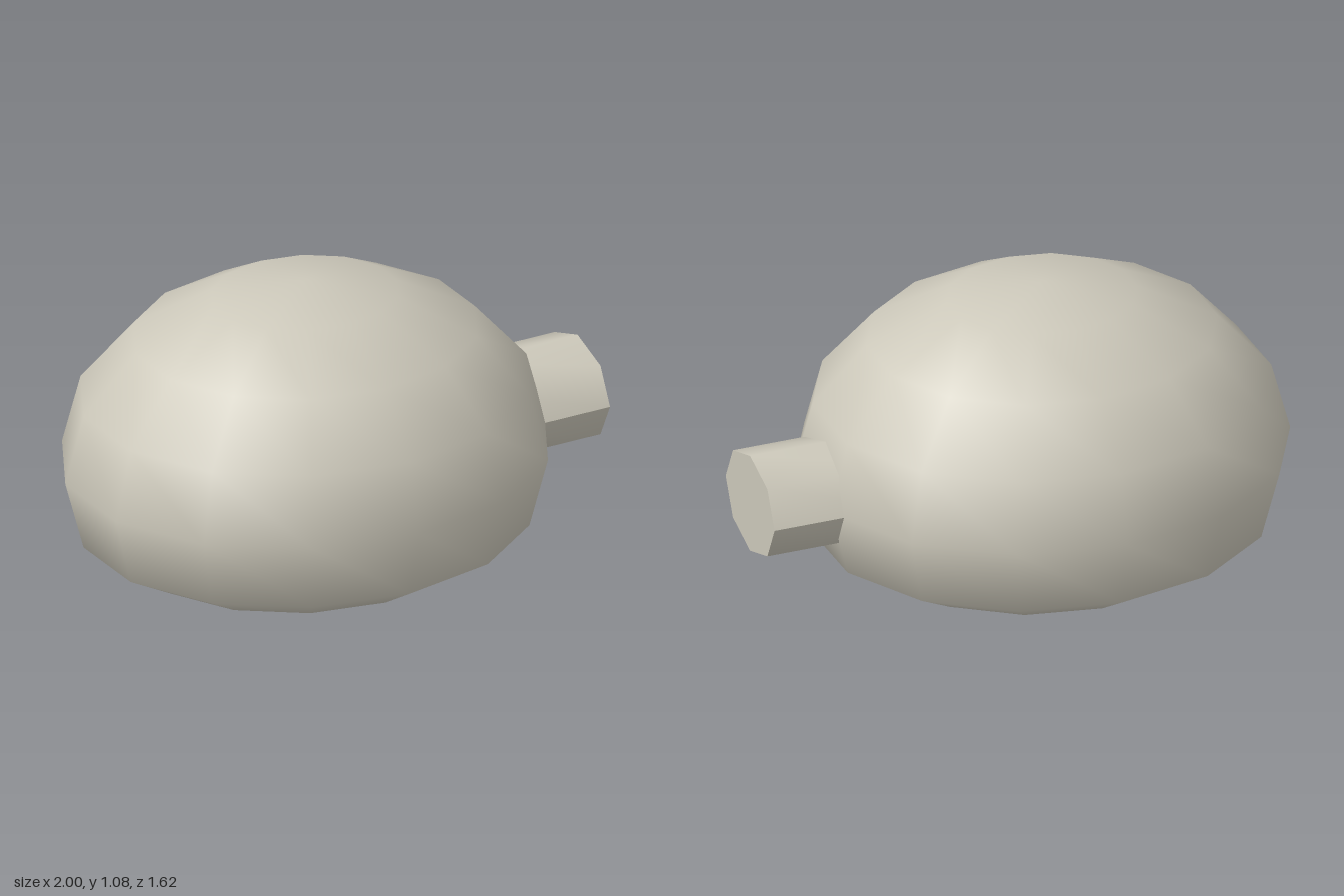
import * as THREE from 'three';
import { mergeVertices, toCreasedNormals } from 'three/addons/utils/BufferGeometryUtils.js';

const CENTRE_X = -0.12;
const CENTRE_Y = 0.41;

// Flattened 14-sided dome, smooth shaded, with a softly rounded base
function bodyGeometry() {
  const bottom = [[0, 0], [0.383, 0.015], [0.707, 0.045], [0.924, 0.152]];
  const profile = bottom.map(([r, y]) => new THREE.Vector2(r, y));
  for (let i = 0; i <= 4; i++) {
    const a = (i * Math.PI) / 8;
    profile.push(new THREE.Vector2(i === 4 ? 0 : Math.cos(a), CENTRE_Y + 0.67 * Math.sin(a)));
  }
  const lathe = new THREE.LatheGeometry(profile, 14);
  lathe.deleteAttribute('uv');
  lathe.deleteAttribute('normal');
  const geometry = mergeVertices(lathe, 1e-4);
  geometry.scale(0.903, 1, 0.81);
  geometry.computeVertexNormals();
  return geometry;
}

// Oval eight-sided neck along x, creased at its side ridges and end
function neckGeometry() {
  const length = 0.5;
  const geometry = new THREE.CylinderGeometry(1, 1, length, 8);
  geometry.rotateZ(-Math.PI / 2);
  geometry.scale(1, 0.19, 0.23);
  geometry.translate(1 - length / 2, CENTRE_Y, 0);
  return toCreasedNormals(geometry, 0.85);
}

export function createModel() {
  const group = new THREE.Group();
  const stone = new THREE.MeshStandardMaterial({ color: 0xccc8ba });
  stone.name = 'warm grey';

  const body = new THREE.Mesh(bodyGeometry(), stone);
  body.name = 'body';
  body.position.x = CENTRE_X;

  const neck = new THREE.Mesh(neckGeometry(), stone);
  neck.name = 'neck';

  group.add(body, neck);
  return group;
}
